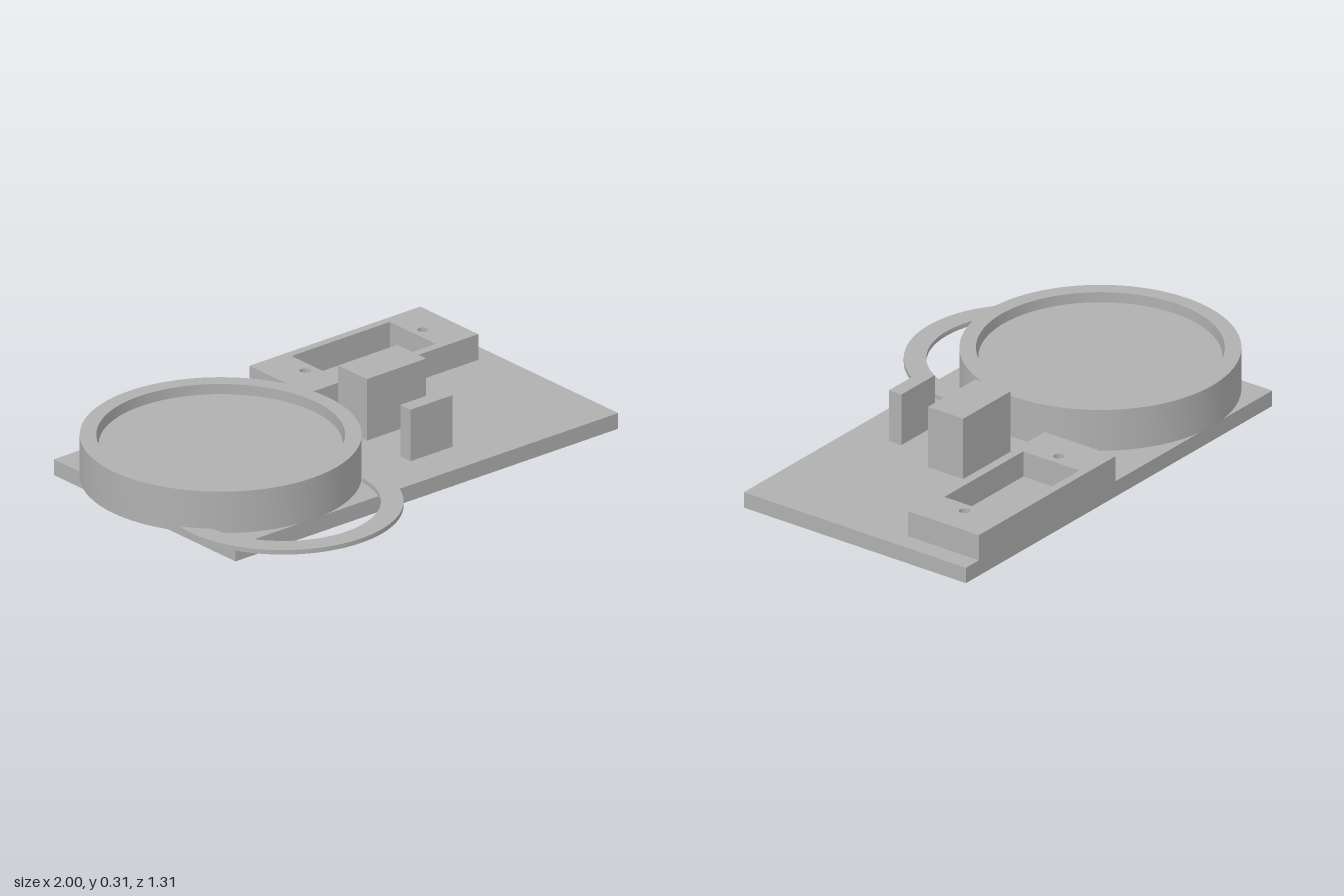
import * as THREE from 'three';
import { toCreasedNormals } from 'three/addons/utils/BufferGeometryUtils.js';

const grey = new THREE.MeshStandardMaterial({ color: 0xb0b0b0 });
grey.name = 'grey plastic';

const DECK = 0.063; // top of the base plate

export function createModel() {
  const model = new THREE.Group();

  function add(name, geometry, x = 0, y = 0, z = 0) {
    const mesh = new THREE.Mesh(geometry, grey);
    mesh.name = name;
    mesh.position.set(x, y, z);
    model.add(mesh);
  }

  // Box given by its limits along each axis
  function box(name, x0, x1, y0, y1, z0, z1) {
    add(name, new THREE.BoxGeometry(x1 - x0, y1 - y0, z1 - z0),
      (x0 + x1) / 2, (y0 + y1) / 2, (z0 + z1) / 2);
  }

  // Plan outline with z pointing down the page
  function rect(path, x0, x1, z0, z1) {
    path.moveTo(x0, -z1);
    path.lineTo(x1, -z1);
    path.lineTo(x1, -z0);
    path.lineTo(x0, -z0);
    path.closePath();
    return path;
  }

  // Upright slab with openings cut through it
  function slab(name, shape, y0, y1) {
    const geometry = new THREE.ExtrudeGeometry(shape, { depth: y1 - y0, bevelEnabled: false, curveSegments: 24 });
    add(name, geometry.rotateX(-Math.PI / 2), 0, y0, 0);
  }

  // Flat-edged ring with a rectangular section
  function ring(name, inner, outer, y0, y1, x, z) {
    const profile = [[inner, y0], [outer, y0], [outer, y1], [inner, y1], [inner, y0]]
      .map(([r, y]) => new THREE.Vector2(r, y));
    add(name, toCreasedNormals(new THREE.LatheGeometry(profile, 96), 0.6), x, 0, z);
  }

  // Base plate, with a shallow pocket partly under the dish
  box('baseFloor', -0.85, 0.998, 0, 0.03, -0.653, 0.375);
  const deck = rect(new THREE.Shape(), -0.85, 0.998, -0.653, 0.375);
  deck.holes.push(rect(new THREE.Path(), -0.81, -0.4, 0, 0.335));
  slab('baseDeck', deck, 0.03, DECK);

  // Round dish: outer wall and a loose plate inside it
  ring('dishWall', 0.457, 0.518, DECK, 0.23, -0.482, -0.14);
  const plateTop = 0.193;
  add('dishPlate', new THREE.CylinderGeometry(0.448, 0.448, plateTop - DECK, 96),
    -0.482, (plateTop + DECK) / 2, -0.14);

  // Thin ring reaching out past the front edge
  ring('flatRing', 0.36, 0.443, DECK, 0.081, -0.482, 0.212);

  // Mounting block with a window and two screw holes
  const block = rect(new THREE.Shape(), 0.095, 0.92, -0.653, -0.325);
  block.holes.push(rect(new THREE.Path(), 0.27, 0.745, -0.62, -0.36));
  for (const x of [0.222, 0.791]) {
    block.holes.push(new THREE.Path().absarc(x, 0.488, 0.02, 0, Math.PI * 2, true));
  }
  slab('mountingBlock', block, DECK, 0.166);

  // Upright blocks
  box('largeBlock', 0.135, 0.421, DECK, 0.31, -0.198, -0.035);
  box('smallBlock', 0.135, 0.337, DECK, 0.27, 0.153, 0.211);

  return model;
}
